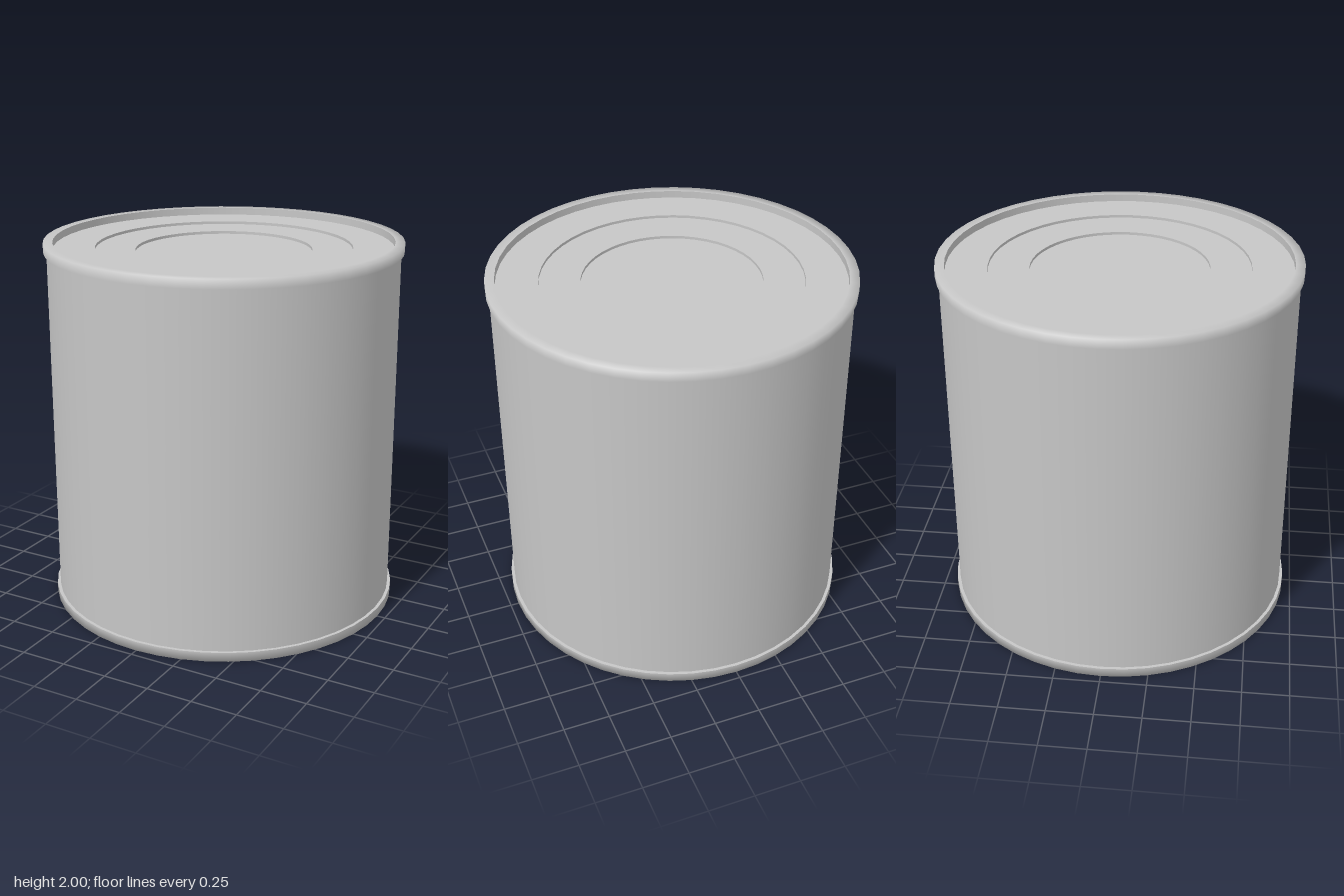
import * as THREE from 'three';
import { mergeGeometries } from 'three/addons/utils/BufferGeometryUtils.js';

const SEGMENTS = 48;
const HEIGHT = 2;

// Each strip is smooth within itself; edges between strips stay sharp.
function latheStrips(strips) {
  return mergeGeometries(strips.map((pts) =>
    new THREE.LatheGeometry(pts.map(([r, y]) => new THREE.Vector2(r, y)), SEGMENTS)));
}

// Turns a bottom-end profile into the matching top-end profile.
function flip(strips) {
  return strips.map((pts) => pts.map(([r, y]) => [r, HEIGHT - y]).reverse());
}

export function createModel() {
  const tin = new THREE.MeshStandardMaterial({ color: 0xc6c6c6 });
  tin.name = 'tin';

  const group = new THREE.Group();
  group.name = 'tinCan';
  const add = (name, strips) => {
    const mesh = new THREE.Mesh(latheStrips(strips), tin);
    mesh.name = name;
    group.add(mesh);
  };

  // Side wall
  add('body', [[[0.938, 0.05], [0.938, HEIGHT - 0.05]]]);

  // Rolled rim: inner wall, soft outer lip, ledge back to the body
  const rim = [
    [[0.905, 0.04], [0.905, 0]],
    [[0.905, 0], [0.955, 0], [0.955, 0.05]],
    [[0.955, 0.05], [0.938, 0.05]],
  ];
  // Recessed end panel with two shallow concentric steps
  const panel = [
    [[0, 0.07], [0.47, 0.07]],
    [[0.47, 0.07], [0.47, 0.055]],
    [[0.47, 0.055], [0.685, 0.055]],
    [[0.685, 0.055], [0.685, 0.04]],
    [[0.685, 0.04], [0.905, 0.04]],
  ];

  add('bottomRim', rim);
  add('bottomPanel', panel);
  add('topRim', flip(rim));
  add('topPanel', flip(panel));

  return group;
}
